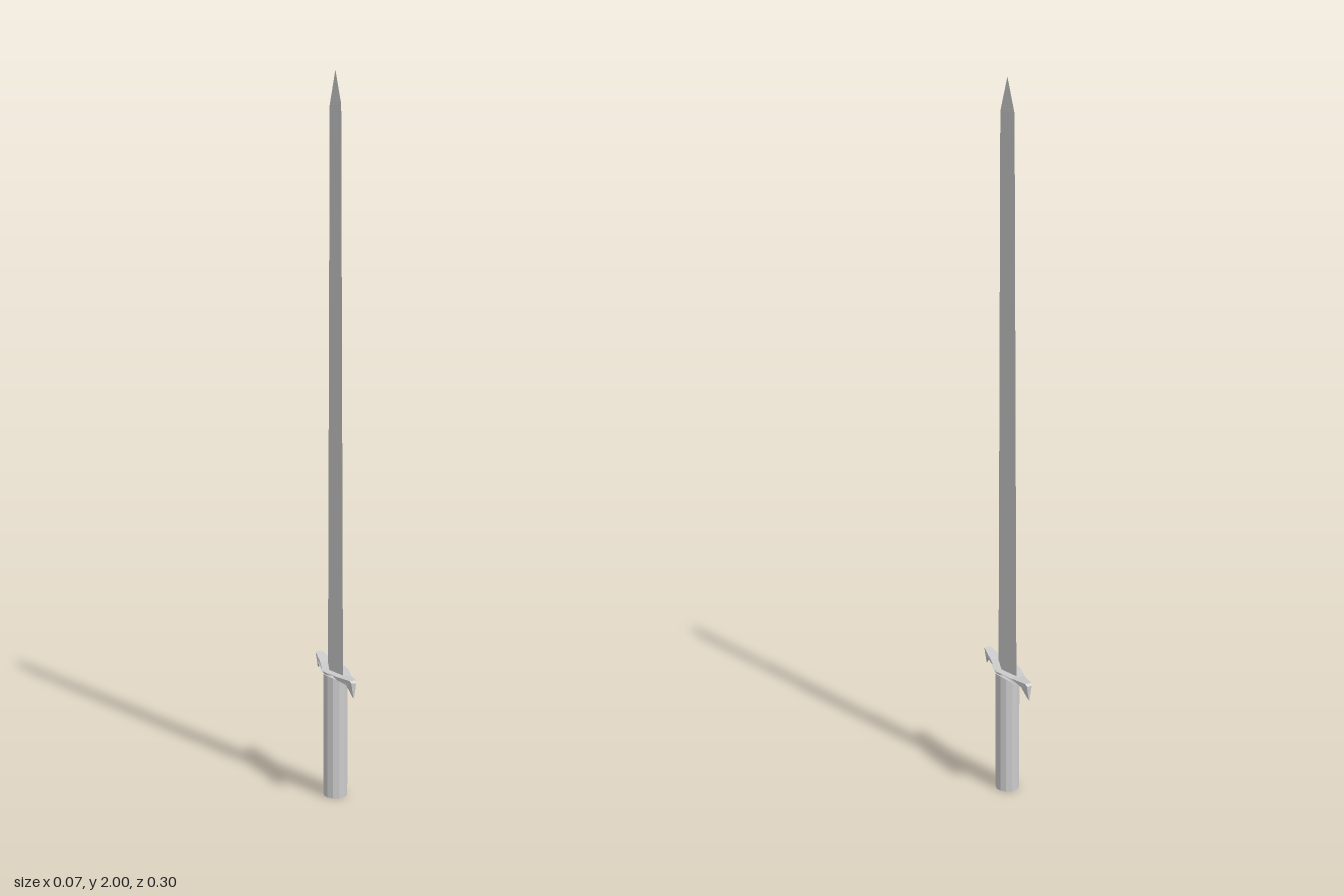
import * as THREE from 'three';

const material = new THREE.MeshStandardMaterial({ color: 0xcccccc, flatShading: true });

function part(name, geometry) {
  const flat = geometry.index ? geometry.toNonIndexed() : geometry;
  flat.computeVertexNormals();
  const mesh = new THREE.Mesh(flat, material);
  mesh.name = name;
  return mesh;
}

// Diamond-section blade: each row is [y, half thickness, half width], tip first
function bladeGeometry() {
  const rows = [[2, 0, 0], [1.91, 0.007, 0.045], [0.36, 0.018, 0.062]];
  const geometry = new THREE.CylinderGeometry(1, 1, 2, 4, 2);
  const p = geometry.attributes.position;
  for (let i = 0; i < p.count; i++) {
    const [y, x, z] = rows[Math.round(1 - p.getY(i))];
    p.setXYZ(i, p.getX(i) * x, y, p.getZ(i) * z);
  }
  return geometry;
}

// Cross-guard: side outline with hooked ends, narrowed in plan toward the ends
function guardGeometry() {
  const top = [[0.01, 0.368], [0.07, 0.369], [0.142, 0.379]];
  const hook = [[0.148, 0.373], [0.147, 0.33]];
  const bottom = [[0.122, 0.362], [0.07, 0.36], [0.01, 0.358]];
  const half = [...top, ...hook, ...bottom];
  const mirrored = half.map(([z, y]) => [-z, y]).reverse();
  const outline = [...half, ...mirrored].map(([z, y]) => new THREE.Vector2(z, y));
  const geometry = new THREE.ExtrudeGeometry(new THREE.Shape(outline), { depth: 1, bevelEnabled: false });
  geometry.translate(0, 0, -0.5).rotateY(-Math.PI / 2);

  const plan = [[0.01, 0.035], [0.07, 0.02], [0.142, 0.01], [0.148, 0.007]];
  const halfWidth = (z) => {
    for (let i = 1; i < plan.length; i++) {
      const [z0, w0] = plan[i - 1], [z1, w1] = plan[i];
      if (z <= z1 + 1e-5) return THREE.MathUtils.mapLinear(Math.max(z, z0), z0, z1, w0, w1);
    }
    return plan[plan.length - 1][1];
  };
  const p = geometry.attributes.position;
  for (let i = 0; i < p.count; i++) {
    // The hook closes to a fine point at its lower end
    const w = p.getY(i) < 0.34 ? 0.001 : halfWidth(Math.abs(p.getZ(i)));
    p.setX(i, Math.sign(p.getX(i)) * w);
  }
  return geometry;
}

export function createModel() {
  const group = new THREE.Group();
  group.name = 'sword';
  group.add(part('blade', bladeGeometry()));
  group.add(part('crossGuard', guardGeometry()));

  // Faceted grip
  const grip = new THREE.CylinderGeometry(0.034, 0.034, 0.364, 12);
  grip.translate(0, 0.182, 0);
  group.add(part('grip', grip));
  return group;
}
